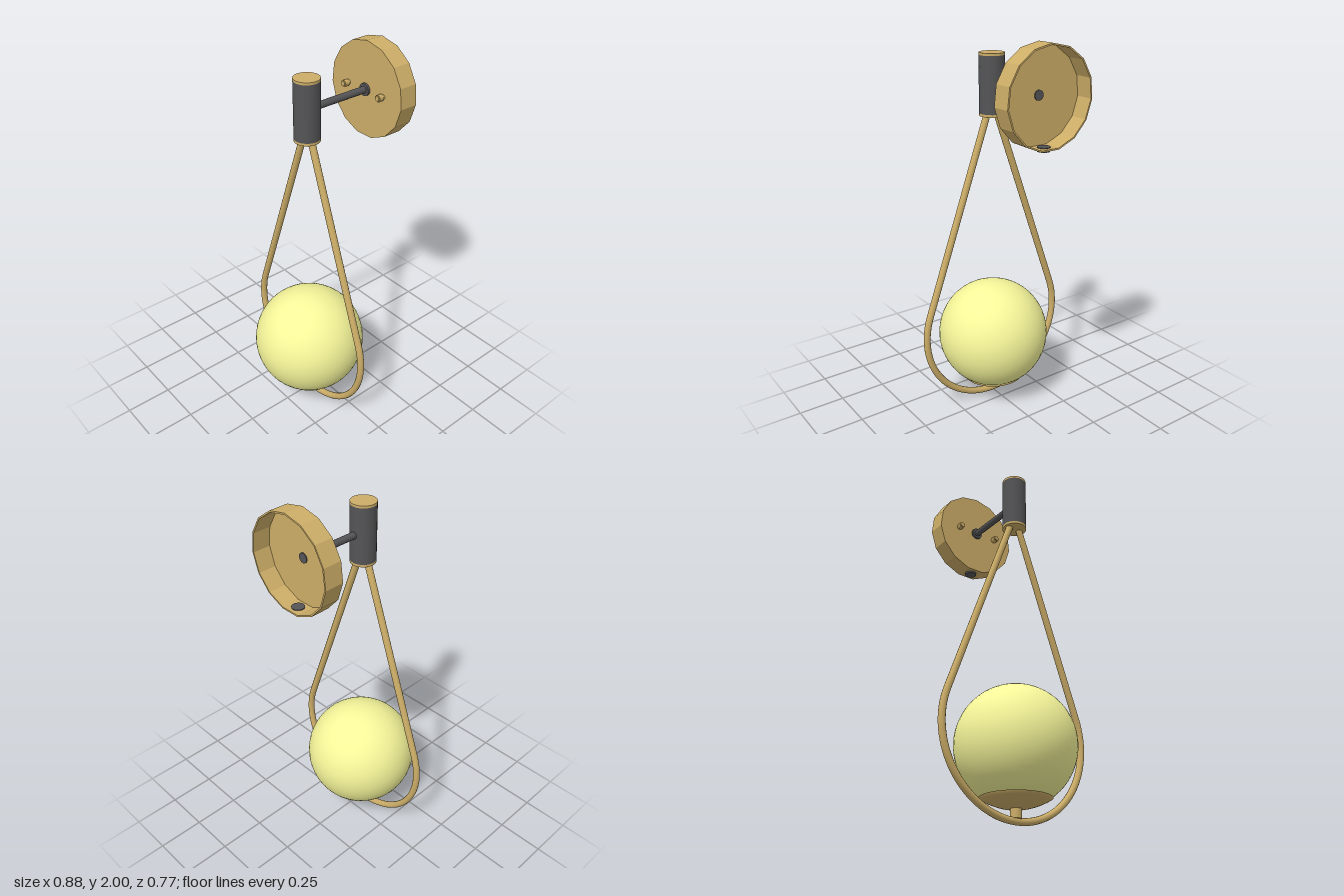
import * as THREE from 'three';

const brass = new THREE.MeshStandardMaterial({ color: 0xcdae68 });
const brassFlat = new THREE.MeshStandardMaterial({ color: 0xcdae68, flatShading: true });
const dark = new THREE.MeshStandardMaterial({ color: 0x555557 });
const glass = new THREE.MeshStandardMaterial({ color: 0xf6f69a });

const Z = 0.083;       // plane of the hoop, hub and globe
const PLATE_Y = 1.757; // height of the wall plate and arm

export function createModel() {
  const group = new THREE.Group();

  function add(name, geometry, material, x = 0, y = 0, z = 0) {
    const mesh = new THREE.Mesh(geometry, material);
    mesh.name = name;
    mesh.position.set(x, y, z);
    group.add(mesh);
    return mesh;
  }
  // upright cylinder between two heights
  const post = (name, r, y0, y1, material, x = 0, z = Z) =>
    add(name, new THREE.CylinderGeometry(r, r, y1 - y0, 24), material, x, (y0 + y1) / 2, z);
  // cylinder along z at plate height
  const rod = (name, r, z0, z1, material, x = 0, sides = 16) =>
    add(name, new THREE.CylinderGeometry(r, r, z1 - z0, sides).rotateX(Math.PI / 2),
      material, x, PLATE_Y, (z0 + z1) / 2);
  const lathe = (points, sides, start = 0) =>
    new THREE.LatheGeometry(points.map(p => new THREE.Vector2(...p)), sides, start);

  // Wall plate: faceted shallow cup, open towards the wall
  const plate = lathe([
    [0, -0.291], [0.238, -0.291], [0.238, -0.385],
    [0.246, -0.385], [0.246, -0.285], [0, -0.285],
  ], 15, Math.PI).rotateX(Math.PI / 2);
  add('wallPlate', plate, brassFlat, 0, PLATE_Y - 0.003, 0);

  // Plate fixings
  for (const side of [-1, 1]) {
    rod('plateScrew', 0.013, -0.29, -0.245, brass, side * 0.122, 10);
    rod('plateScrewCollar', 0.018, -0.275, -0.25, brass, side * 0.122, 10);
  }
  rod('backNut', 0.025, -0.296, -0.288, dark);
  post('undersideScrew', 0.032, 1.503, 1.525, dark, 0, -0.335);

  // Arm from plate to hub
  rod('arm', 0.018, -0.285, Z - 0.03, dark);
  rod('armCollar', 0.032, -0.287, -0.273, dark);

  // Hub with end caps
  post('hub', 0.065, 1.613, 1.9, dark);
  post('hubTopCap', 0.065, 1.9, 1.912, brass);
  post('hubBottomCap', 0.065, 1.6, 1.613, brass);

  // Teardrop hoop: straight legs tangent to a lower arc
  const R = 0.423, cy = 0.441, tilt = 0.345;
  const tangent = new THREE.Vector2(R * Math.cos(tilt), cy + R * Math.sin(tilt));
  const topY = 1.605;
  const topX = tangent.x - (topY - tangent.y) * Math.tan(tilt);
  class HoopArc extends THREE.Curve {
    getPoint(t, target = new THREE.Vector3()) {
      const a = tilt - t * (Math.PI + 2 * tilt);
      return target.set(R * Math.cos(a), cy + R * Math.sin(a), 0);
    }
  }
  add('hoopArc', new THREE.TubeGeometry(new HoopArc(), 64, 0.018, 12), brass, 0, 0, Z);
  for (const side of [-1, 1]) {
    const leg = new THREE.LineCurve3(
      new THREE.Vector3(side * tangent.x, tangent.y, 0),
      new THREE.Vector3(side * topX, topY, 0));
    add('hoopLeg', new THREE.TubeGeometry(leg, 1, 0.018, 12), brass, 0, 0, Z);
  }

  // Globe, its shallow holder and the stem
  add('globe', new THREE.SphereGeometry(0.3, 48, 32), glass, 0, 0.377, Z);
  const holder = [[0, 0.074]];
  for (let i = 1; i <= 8; i++) {
    const r = 0.175 * i / 8;
    holder.push([r, 0.074 + 0.051 * (i / 8) ** 2]);
  }
  holder.push([0.16, 0.125]);
  const holderMaterial = brass.clone();
  holderMaterial.side = THREE.DoubleSide;
  add('globeHolder', lathe(holder, 40), holderMaterial, 0, 0, Z);
  post('stem', 0.028, 0.03, 0.085, brass);

  return group;
}
